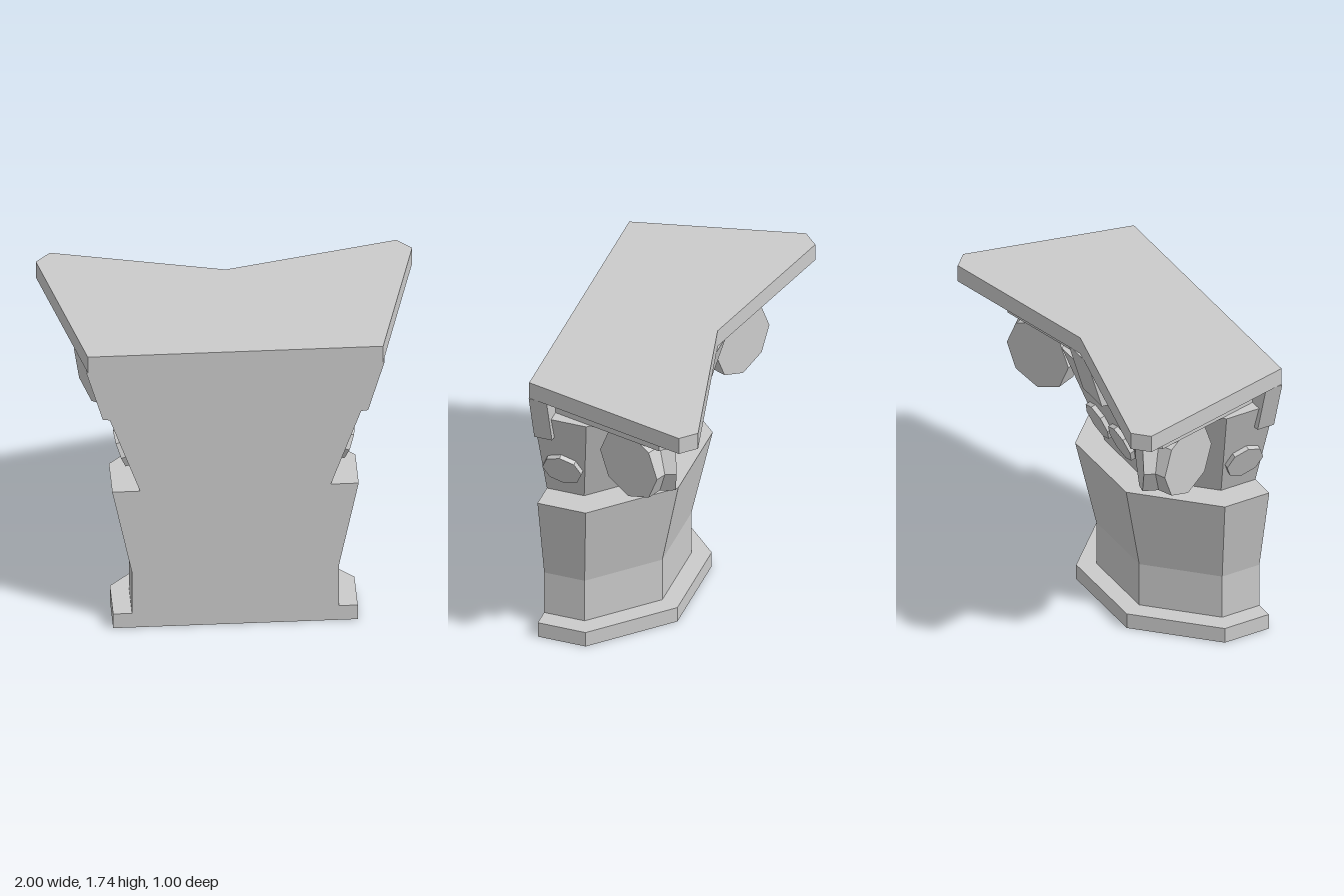
import * as THREE from 'three';
import { ConvexGeometry } from 'three/addons/geometries/ConvexGeometry.js';

const material = new THREE.MeshStandardMaterial({ color: 0xcccccc, flatShading: true });

export function createModel() {
  const model = new THREE.Group();
  model.name = 'halfColumnCapital';
  // Everything is laid out around the column axis, which lies in the flat wall plane
  const half = new THREE.Group();
  half.name = 'capital';
  half.position.z = 0.5;
  model.add(half);

  const add = (name, geometry) => {
    const mesh = new THREE.Mesh(geometry, material);
    mesh.name = name;
    half.add(mesh);
    return mesh;
  };

  // Half octagon ring with a given apothem, cut at z = 0
  const ring = (a, y) => {
    const h = a * Math.tan(Math.PI / 8);
    return [[a, 0], [a, -h], [h, -a], [-h, -a], [-a, -h], [-a, 0]]
      .map(([x, z]) => new THREE.Vector3(x, y, z));
  };
  const frustum = (name, a0, y0, a1, y1) =>
    add(name, new ConvexGeometry([...ring(a0, y0), ...ring(a1, y1)]));

  frustum('basePlinth', 0.65, 0, 0.65, 0.09);
  frustum('shaft', 0.55, 0.09, 0.55, 0.35);
  frustum('flare', 0.55, 0.35, 0.655, 0.87);
  frustum('bell', 0.507, 0.87, 0.72, 1.48);

  // Horned slabs on top, the lower one a reduced copy
  const slab = (name, s, y0, y1) => {
    const right = [[0.785, 0], [1, -0.92], [0.92, -1]];
    const outline = [...right, [0, -0.78], ...right.map(([x, z]) => [-x, z]).reverse()];
    const shape = new THREE.Shape(outline.map(([x, z]) => new THREE.Vector2(x * s, -z * s)));
    const geometry = new THREE.ExtrudeGeometry(shape, { depth: y1 - y0, bevelEnabled: false });
    add(name, geometry.rotateX(-Math.PI / 2).translate(0, y0, 0));
  };
  slab('lowerAbacus', 0.8, 1.48, 1.64);
  slab('upperAbacus', 1, 1.64, 1.74);

  // Sloped brackets in the middle of each side (halved at the wall)
  const bracket = (name, angle, z0, z1) => {
    const shape = new THREE.Shape([[0.58, 1.32], [0.705, 1.335], [0.793, 1.64], [0.58, 1.64]]
      .map(([x, y]) => new THREE.Vector2(x, y)));
    const geometry = new THREE.ExtrudeGeometry(shape, { depth: z1 - z0, bevelEnabled: false });
    add(name, geometry.translate(0, 0, z0).rotateY(angle));
  };
  bracket('leftBracket', 0, -0.1, 0);
  bracket('backBracket', Math.PI / 2, -0.1, 0.1);
  bracket('rightBracket', Math.PI, 0, 0.1);

  // Small octagonal studs lying on the sloped bell faces
  const tilt = Math.atan2(0.213, 0.61);
  const stud = (name, angle, z) => {
    const geometry = new THREE.CylinderGeometry(0.11, 0.11, 0.06, 8);
    add(name, geometry.rotateZ(-Math.PI / 2 - tilt).translate(0.579, 1.087, z).rotateY(angle));
  };
  stud('leftStud', 0, -0.12);
  stud('backStud', Math.PI / 2, -0.12);
  stud('backStud', Math.PI / 2, 0.12);
  stud('rightStud', Math.PI, 0.12);

  // Corner volutes: two octagonal discs crossing in a V under each horn
  const t = 0.12, lean = 0.4;
  const disc = (name, x, z, angle) => {
    const geometry = new THREE.CylinderGeometry(0.205, 0.205, t, 8);
    geometry.rotateZ(-Math.PI / 2).translate(-t / 2, 0, 0).rotateY(angle).translate(x, 1.3, z);
    add(name, geometry);
  };
  for (const [side, s] of [['left', 1], ['right', -1]]) {
    const mirrored = (a) => (s > 0 ? a : Math.PI - a);
    disc(side + 'VoluteSide', s * 0.73, -0.54, mirrored(-lean));
    disc(side + 'VoluteBack', s * 0.54, -0.73, mirrored(Math.PI / 2 + lean));
  }
  return model;
}
